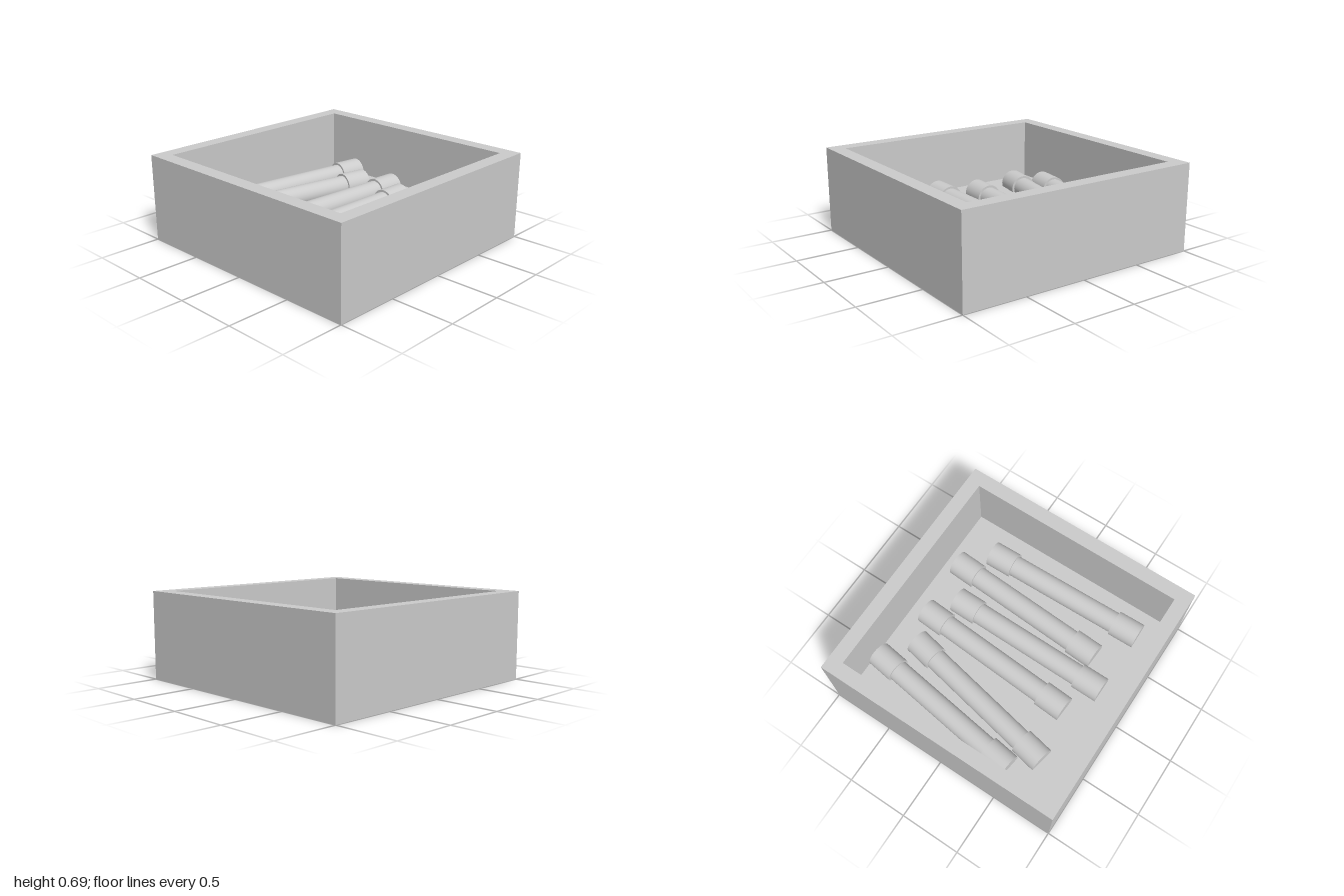
import * as THREE from 'three';

const HEIGHT = 0.695, INNER = 0.886, FLOOR = 0.2;
const ROD_LENGTH = 1.375, CAP_LENGTH = 0.215, CAP_R = 0.103, BAR_R = 0.086, ROD_Y = 0.23;

// end points of each rod: [x1, z1, x2, z2]
const RODS = [
  [-0.495, -0.78, 0.867, -0.588],
  [-0.677, -0.6, 0.677, -0.334],
  [-0.605, -0.166, 0.768, -0.08],
  [-0.765, 0.123, 0.612, 0.139],
  [-0.578, 0.332, 0.802, 0.412],
  [-0.775, 0.668, 0.604, 0.642],
];

const square = (Type, h) => new Type([
  new THREE.Vector2(-h, -h), new THREE.Vector2(h, -h),
  new THREE.Vector2(h, h), new THREE.Vector2(-h, h),
]);

export function createModel() {
  const group = new THREE.Group();
  const material = new THREE.MeshStandardMaterial({ color: 0xcccccc });
  const add = (parent, name, geometry) => {
    const mesh = new THREE.Mesh(geometry, material);
    mesh.name = name;
    parent.add(mesh);
    return mesh;
  };

  // open box: a square ring of walls around a thick floor
  const ring = square(THREE.Shape, 1);
  ring.holes.push(square(THREE.Path, INNER));
  const walls = new THREE.ExtrudeGeometry(ring, { depth: HEIGHT, bevelEnabled: false });
  add(group, 'boxWalls', walls.rotateX(-Math.PI / 2));
  add(group, 'boxFloor', new THREE.BoxGeometry(2 * INNER, FLOOR, 2 * INNER)).position.y = FLOOR / 2;

  // rods lying on the floor, each a bar with a wider cap at both ends
  const cylinder = (r, length) => new THREE.CylinderGeometry(r, r, length, 32).rotateZ(Math.PI / 2);
  const barGeometry = cylinder(BAR_R, ROD_LENGTH - CAP_LENGTH);
  const capGeometry = cylinder(CAP_R, CAP_LENGTH);
  RODS.forEach(([x1, z1, x2, z2], i) => {
    const rod = new THREE.Group();
    rod.name = `rod${i + 1}`;
    rod.position.set((x1 + x2) / 2, ROD_Y, (z1 + z2) / 2);
    rod.rotation.y = -Math.atan2(z2 - z1, x2 - x1);
    add(rod, 'bar', barGeometry);
    for (const side of [-1, 1]) {
      add(rod, side < 0 ? 'rightCap' : 'leftCap', capGeometry).position.x = side * (ROD_LENGTH - CAP_LENGTH) / 2;
    }
    group.add(rod);
  });

  return group;
}
